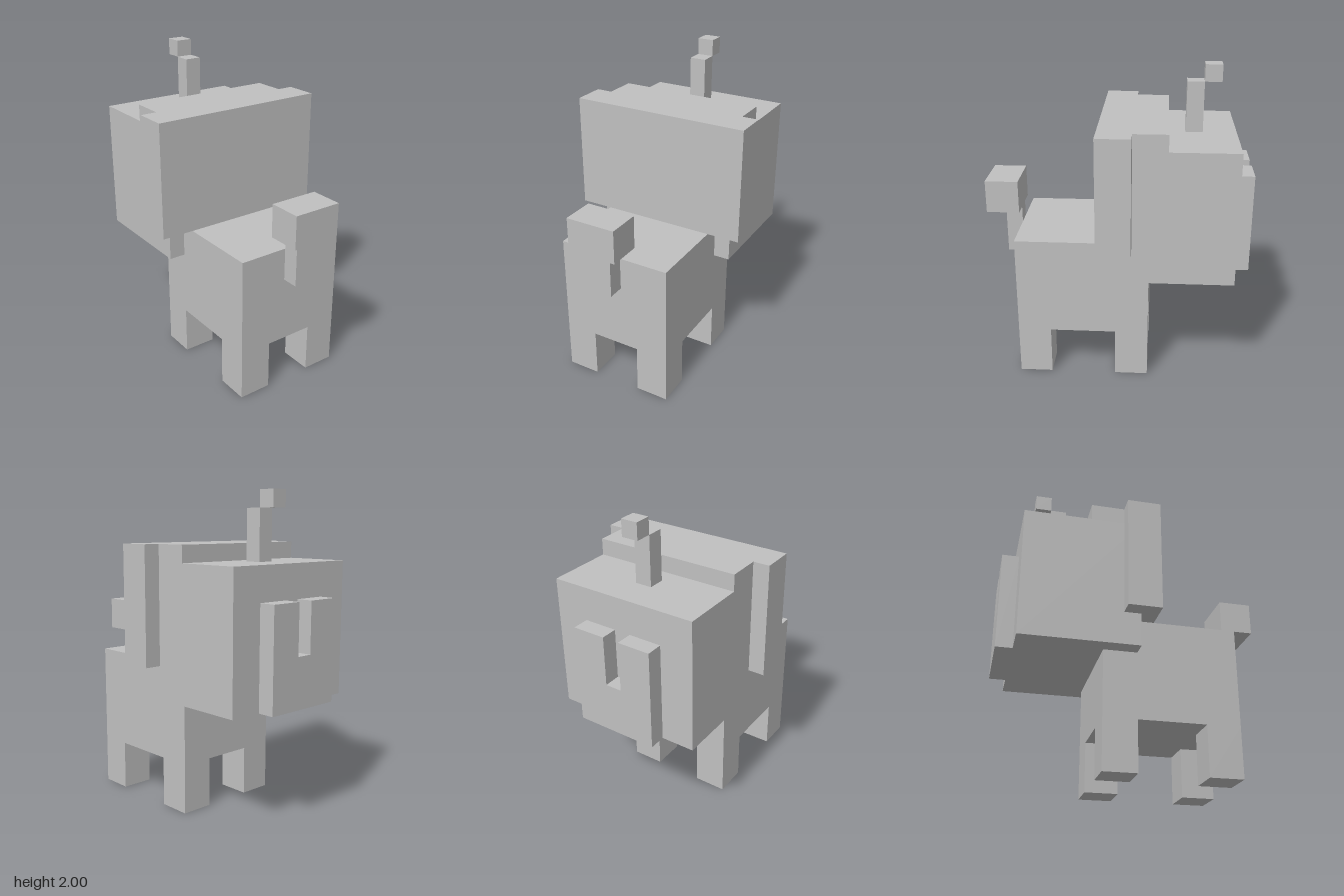
import * as THREE from 'three';

// One cube cell: the model is 19 cells tall
const U = 2 / 19;

export function createModel() {
  const model = new THREE.Group();
  model.name = 'blockCreature';
  const grey = new THREE.MeshStandardMaterial({ color: 0xc0c0c0 });
  grey.name = 'grey';

  // Box given by its [min, max] ranges in cells
  function block(name, [x0, x1], [y0, y1], [z0, z1]) {
    const geometry = new THREE.BoxGeometry((x1 - x0) * U, (y1 - y0) * U, (z1 - z0) * U);
    const mesh = new THREE.Mesh(geometry, grey);
    mesh.name = name;
    mesh.position.set((x0 + x1) / 2 * U, (y0 + y1) / 2 * U, (z0 + z1) / 2 * U);
    model.add(mesh);
  }

  // Body and four legs
  block('body', [-3.5, 3.5], [3, 9], [-2, 6]);
  for (const [side, x] of [['left', [1.5, 3.5]], ['right', [-3.5, -1.5]]]) {
    block(side + 'LegA', x, [0, 3], [4, 6]);
    block(side + 'LegB', x, [0, 3], [-2, 0]);
  }

  // Tail with a wide tip
  block('tailStem', [-0.5, 0.5], [7, 10], [6, 7]);
  block('tailTip', [-1.5, 1.5], [10, 12], [6, 8]);

  // Head, wide hood and raised crown
  block('head', [-4.5, 4.5], [7, 15], [-7, 0]);
  block('hood', [-5.5, 5.5], [9, 16], [-1, 1]);
  block('crown', [-4.5, 4.5], [15, 16], [-3, -1]);

  // Face plate with a notch at the top, cut as one outline
  const face = new THREE.Shape(
    [[-2.5, 7], [2.5, 7], [2.5, 13], [0.5, 13], [0.5, 10], [-0.5, 10], [-0.5, 13], [-2.5, 13]]
      .map(([x, y]) => new THREE.Vector2(x * U, y * U)));
  const facePlate = new THREE.Mesh(
    new THREE.ExtrudeGeometry(face, { depth: U, bevelEnabled: false }), grey);
  facePlate.name = 'facePlate';
  facePlate.position.z = -8 * U;
  model.add(facePlate);

  // Antenna with an offset tip
  block('antennaStem', [-0.5, 0.5], [15, 18], [-5, -4]);
  block('antennaTip', [-0.5, 0.5], [18, 19], [-6, -5]);

  return model;
}
